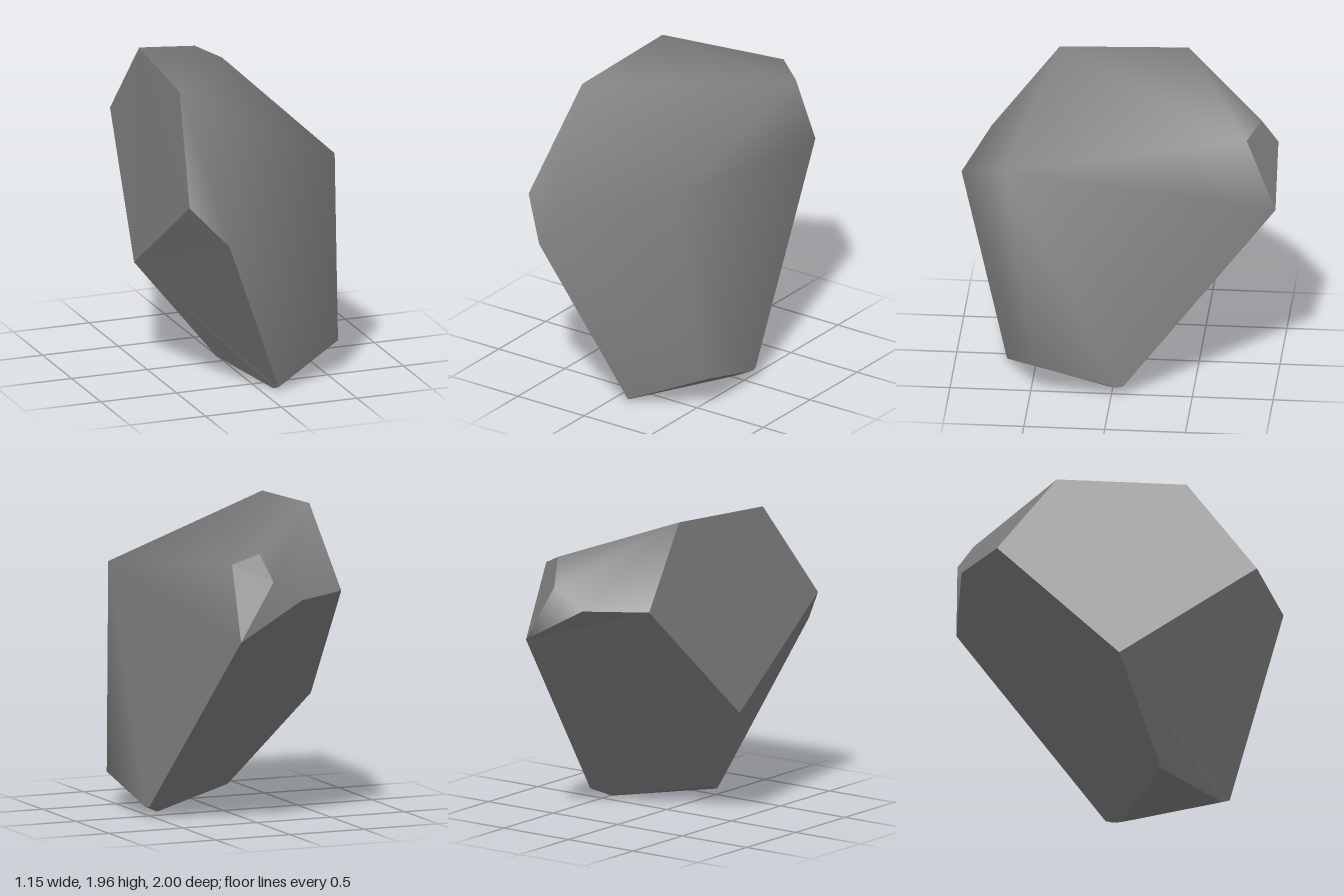
import * as THREE from 'three';

// Corners of the chipped boulder
const P = {
  crest: [-0.40, 1.955, -0.40], brow: [-0.44, 1.91, 0.40],
  cheek: [-0.54, 1.30, 0.83], nose: [-0.34, 1.075, 1.0],
  hip: [-0.58, 0.70, -0.02], backHip: [-0.45, 1.46, -0.77],
  shoulder: [0.48, 1.49, 0.67], knee: [0.575, 0.21, 0.48],
  chipA: [0.31, 1.68, -0.82], chipB: [0.16, 1.75, -0.90],
  chipC: [0.11, 1.585, -1.0], chipD: [0.33, 1.22, -1.0],
  back: [-0.09, 1.455, -0.98],
  heelA: [0.545, 0.065, -0.03], heelB: [0.535, 0.07, -0.075], heelC: [0.44, 0.02, 0.02],
  toe: [0.105, 0.02, 0.68], sole: [0.09, 0, 0.63], keel: [-0.14, 0.12, 0.25],
};
const centre = new THREE.Vector3(0, 0.95, 0);

// Fan each convex polygon into triangles that face outwards
function facets(polygons, smooth) {
  const names = Object.keys(P);
  const index = [];
  const at = (n) => new THREE.Vector3(...P[n]);
  for (const text of polygons) {
    const poly = text.split(' ');
    for (let i = 1; i < poly.length - 1; i++) {
      const tri = [poly[0], poly[i], poly[i + 1]];
      const [a, b, c] = tri.map(at);
      const normal = b.clone().sub(a).cross(c.clone().sub(a));
      if (normal.dot(a.clone().sub(centre)) < 0) tri.reverse();
      index.push(...tri.map((n) => names.indexOf(n)));
    }
  }
  let geometry = new THREE.BufferGeometry();
  geometry.setAttribute('position', new THREE.Float32BufferAttribute(Object.values(P).flat(), 3));
  geometry.setIndex(index);
  if (!smooth) geometry = geometry.toNonIndexed();
  geometry.computeVertexNormals();
  return geometry;
}

export function createModel() {
  const stone = new THREE.MeshStandardMaterial({ color: 0x7d7d7d });
  stone.name = 'grey stone';
  const rock = new THREE.Group();
  rock.name = 'rock';
  const add = (name, polygons, smooth = false) => {
    const mesh = new THREE.Mesh(facets(polygons, smooth), stone);
    mesh.name = name;
    rock.add(mesh);
  };

  // Weathered skin with soft shading over front, side, top and upper back
  add('weatheredSkin', [
    'brow cheek nose', 'brow nose shoulder',
    'nose toe knee', 'nose knee shoulder',
    'shoulder knee heelA heelB chipD chipA',
    'brow shoulder chipA', 'crest brow chipA', 'crest chipA chipB',
    'crest chipB chipC back backHip',
    'chipC chipD back',
  ], true);

  // Flat broken faces with hard edges
  add('sideCut', ['crest brow cheek hip backHip']);
  add('lowerFrontCut', ['hip cheek nose toe sole keel']);
  add('lowerBackCut', ['chipD back backHip hip keel heelC heelB']);
  add('cornerChip', ['chipA chipB chipC chipD']);
  add('underside', ['keel sole heelC', 'sole toe knee heelA heelC', 'heelA heelB heelC']);
  return rock;
}
